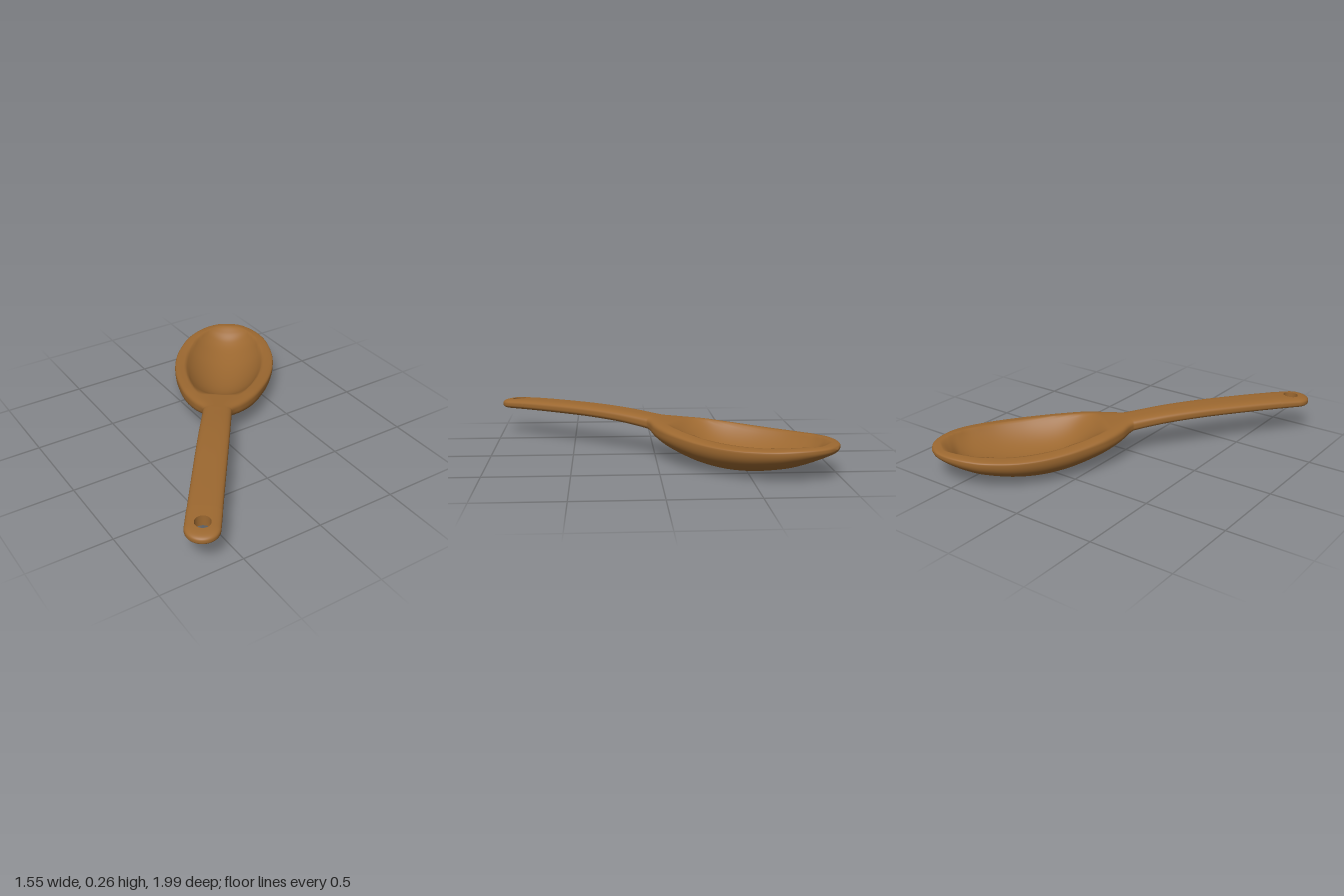
import * as THREE from 'three';
import { mergeGeometries, mergeVertices } from 'three/addons/utils/BufferGeometryUtils.js';

const wood = new THREE.MeshStandardMaterial({ color: 0x9c6830 });
wood.name = 'brown wood';

// Sections along the spoon: position, half width, edge height, top, bottom, cavity depth
const SECTIONS = [
  [-1.0, 0.095, 0.2165, 0.25, 0.183, 0],
  [-0.8, 0.094, 0.222, 0.257, 0.187, 0],
  [-0.5, 0.093, 0.226, 0.262, 0.19, 0],
  [-0.25, 0.091, 0.22, 0.257, 0.183, 0],
  [-0.05, 0.089, 0.203, 0.244, 0.164, 0],
  [0.0, 0.096, 0.196, 0.24, 0.152, 0],
  [0.07, 0.15, 0.182, 0.234, 0.125, 0],
  [0.14, 0.195, 0.174, 0.228, 0.095, 0],
  [0.22, 0.236, 0.17, 0.222, 0.064, 0.045],
  [0.33, 0.274, 0.166, 0.211, 0.034, 0.105],
  [0.45, 0.305, 0.162, 0.2, 0.012, 0.135],
  [0.6, 0.325, 0.16, 0.19, 0.003, 0.14],
  [0.76, 0.321, 0.161, 0.188, 0.016, 0.13],
  [0.92, 0.284, 0.167, 0.194, 0.049, 0.105],
  [1.01, 0.24, 0.171, 0.199, 0.08, 0.075],
  [1.07, 0.195, 0.174, 0.2, 0.106, 0.03],
  [1.12, 0.142, 0.175, 0.199, 0.13, 0],
  [1.16, 0.075, 0.176, 0.194, 0.153, 0],
  [1.176, 0, 0.176, 0.176, 0.176, 0],
];
const curveOf = (k) => new THREE.CatmullRomCurve3(
  SECTIONS.map((r) => new THREE.Vector3(r[k], r[k + 1], r[k + 2])), false, 'catmullrom', 0.5);

const round = (s, n) => Math.pow(Math.max(0, 1 - Math.pow(Math.min(1, Math.abs(s)), n)), 1 / n);

// Smooth surface from a rule f(i, j) -> [x, y, z]
function grid(ni, nj, f) {
  const pos = [], index = [];
  for (let i = 0; i <= ni; i++) for (let j = 0; j <= nj; j++) pos.push(...f(i, j));
  for (let i = 0; i < ni; i++) {
    for (let j = 0; j < nj; j++) {
      const a = i * (nj + 1) + j, b = a + nj + 1;
      index.push(a, b, a + 1, b, b + 1, a + 1);
    }
  }
  const g = new THREE.BufferGeometry();
  g.setAttribute('position', new THREE.Float32BufferAttribute(pos, 3));
  g.setIndex(index);
  return g;
}

function weld(g) {
  const out = mergeVertices(g, 1e-5);
  out.computeVertexNormals();
  return out;
}

// Handle shaft and bowl in one loft
function bodyGeometry() {
  const plan = curveOf(0), heights = curveOf(3);
  const ni = (SECTIONS.length - 1) * 8, nj = 112;
  return weld(grid(ni, nj, (i, j) => {
    const { x: u, y: width, z: edge } = plan.getPoint(i / ni);
    const { x: top, y: bottom, z: depth } = heights.getPoint(i / ni);
    const w = Math.max(0, width);
    const a = ((j % nj) / nj) * Math.PI * 2;
    const s = Math.cos(a);
    const bowl = THREE.MathUtils.smoothstep(u, -0.05, 0.25);
    if (j % nj > nj / 2) {
      return [u, edge - (edge - bottom) * round(s, 3 - 0.8 * bowl), s * w];
    }
    // hollow inside the flat rim
    const t = (s * w) / Math.max(0.02, w - 0.075);
    const hollow = Math.max(0, depth) * Math.pow(Math.max(0, 1 - t * t), 0.85);
    return [u, edge + (top - edge) * round(s, 3 + bowl) - hollow, s * w];
  }));
}

// Rounded handle end, pierced by the hanging hole
const HOLE = -1.105, HOLE_R = 0.045, END = -1.125, END_W = 0.096, JOIN = -0.985;

function endHeight(u, v, side) {
  const s = Math.hypot(Math.min(0, u - END), v) / END_W;
  const mid = 0.2165 + 0.05 * (u + 1), half = 0.0335 + 0.02 * (u + 1);
  return mid + side * half * round(s, 3);
}

function reach(a) {
  let lo = HOLE_R, hi = 0.3;
  for (let k = 0; k < 40; k++) {
    const r = (lo + hi) / 2, u = HOLE + r * Math.cos(a), v = r * Math.sin(a);
    const inside = u < JOIN && Math.hypot(Math.min(0, u - END), v) < END_W;
    if (inside) lo = r; else hi = r;
  }
  return lo;
}

const N = 96;
function endGeometry() {
  const face = (side) => grid(N, 24, (i, j) => {
    const a = (side * (i % N) * Math.PI * 2) / N;
    const r = THREE.MathUtils.lerp(HOLE_R, reach(a), Math.sin((j / 24) * Math.PI / 2));
    const u = HOLE + r * Math.cos(a), v = r * Math.sin(a);
    return [u, endHeight(u, v, side), v];
  });
  return weld(mergeGeometries([face(1), face(-1)]));
}

function holeGeometry() {
  return weld(grid(N, 1, (i, j) => {
    const a = ((i % N) * Math.PI * 2) / N;
    const u = HOLE + HOLE_R * Math.cos(a), v = HOLE_R * Math.sin(a);
    return [u, endHeight(u, v, j ? 1 : -1), v];
  }));
}

export function createModel() {
  const model = new THREE.Group();
  model.name = 'spoon';
  const spoon = new THREE.Group();
  spoon.name = 'spoonBody';
  const add = (name, geometry) => {
    const mesh = new THREE.Mesh(geometry, wood);
    mesh.name = name;
    mesh.position.z = -0.022;
    spoon.add(mesh);
  };
  add('handleAndBowl', bodyGeometry());
  add('handleEnd', endGeometry());
  add('hangingHole', holeGeometry());
  // laid diagonally, bowl towards the back left
  spoon.rotation.y = 0.939;
  model.add(spoon);
  return model;
}
